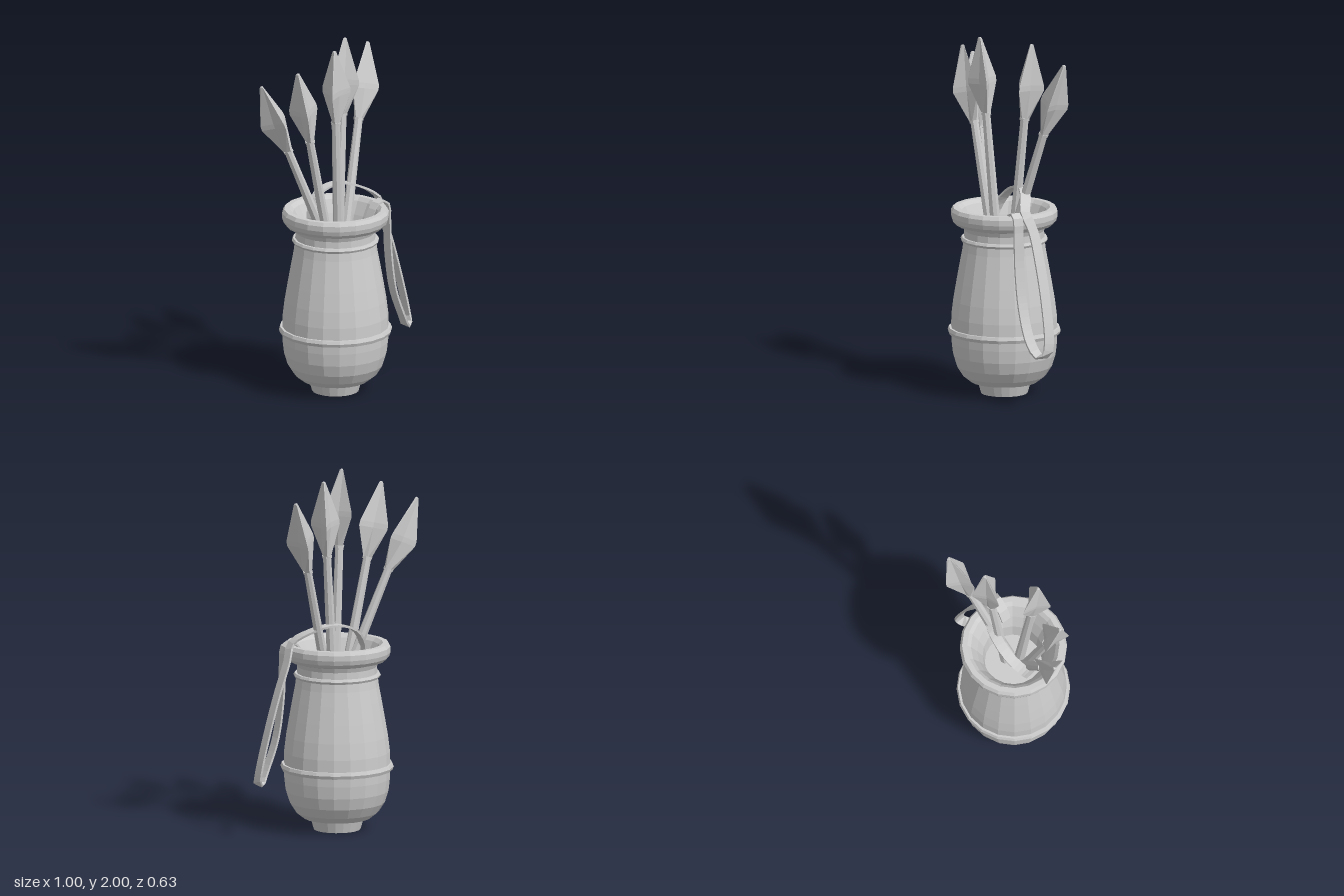
import * as THREE from 'three';

const V = (x, y, z) => new THREE.Vector3(x, y, z);
const UP = V(0, 1, 0);

// Builds quads between equal-length rings of points and fans both ends shut
function loft(rings) {
  const n = rings[0].length;
  const pos = rings.flat().flatMap((p) => [p.x, p.y, p.z]);
  const idx = [];
  for (let i = 0; i < rings.length - 1; i++) {
    for (let j = 0; j < n; j++) {
      const a = i * n + j, b = i * n + ((j + 1) % n);
      idx.push(a, a + n, b, b, a + n, b + n);
    }
  }
  const last = (rings.length - 1) * n;
  for (let j = 1; j < n - 1; j++) {
    idx.push(0, j, j + 1);
    idx.push(last, last + j + 1, last + j);
  }
  const g = new THREE.BufferGeometry();
  g.setAttribute('position', new THREE.Float32BufferAttribute(pos, 3));
  g.setIndex(idx);
  g.computeVertexNormals();
  return g;
}

// Three-finned arrow head, base at y = 0, tip at y = 0.43
function headGeometry() {
  const levels = [[0, 0.026, 0.024], [0.17, 0.092, 0.032], [0.2, 0.09, 0.031], [0.425, 0.012, 0.008], [0.43, 0.006, 0.005]];
  return loft(levels.map(([y, fin, valley]) => Array.from({ length: 6 }, (_, k) => {
    const a = -k * Math.PI / 3, r = k % 2 ? valley : fin;
    return V(r * Math.cos(a), y, r * Math.sin(a));
  }).reverse()));
}

// Flat band swept along a curve, its width kept close to the z axis
function ribbonGeometry(curve, steps, width, thick) {
  const rings = [];
  for (let i = 0; i <= steps; i++) {
    const p = curve.getPointAt(i / steps), t = curve.getTangentAt(i / steps);
    const side = V(0, 0, 1).addScaledVector(t, -t.z).normalize();
    const nor = new THREE.Vector3().crossVectors(t, side);
    rings.push([[-1, -1], [-1, 1], [1, 1], [1, -1]].map(([s, n]) =>
      p.clone().addScaledVector(side, s * width / 2).addScaledVector(nor, n * thick / 2)));
  }
  return loft(rings);
}

export function createModel() {
  const model = new THREE.Group();
  model.name = 'arrowPot';
  const grey = new THREE.MeshStandardMaterial({ color: 0xcccccc });
  grey.name = 'plain grey';
  grey.flatShading = true;

  const add = (name, geometry, parent = model) => {
    const mesh = new THREE.Mesh(geometry, grey);
    mesh.name = name;
    parent.add(mesh);
    return mesh;
  };

  // Pot: foot, belly, neck, lip, then down the inside to a floor
  const profile = [
    [0, 0], [0.13, 0], [0.147, 0.06], [0.185, 0.065], [0.23, 0.1], [0.265, 0.155], [0.285, 0.22],
    [0.293, 0.29], [0.295, 0.36], [0.293, 0.44], [0.282, 0.53], [0.265, 0.63], [0.247, 0.73],
    [0.232, 0.81], [0.223, 0.88], [0.222, 0.92], [0.232, 0.945], [0.27, 0.955], [0.288, 0.975],
    [0.296, 1.0], [0.296, 1.03], [0.284, 1.05], [0.255, 1.05], [0.235, 1.03], [0.2, 0.96],
    [0.17, 0.88], [0.158, 0.78], [0, 0.78],
  ].map(([x, y]) => new THREE.Vector2(x, y));
  add('pot', new THREE.LatheGeometry(profile, 20)).position.x = -0.02;

  // Raised bands around belly and neck
  for (const [name, r, y, h] of [['bellyBand', 0.314, 0.355, 0.018], ['neckBand', 0.242, 0.87, 0.013]]) {
    const section = [[r - 0.03, -h], [r - 0.007, -h], [r, 0], [r - 0.007, h], [r - 0.03, h]]
      .map(([x, v]) => new THREE.Vector2(x, v));
    add(name, new THREE.LatheGeometry(section, 20)).position.set(-0.02, y, 0);
  }

  // Arrows: shaft foot, head tip, turn of the fins in degrees
  const arrows = [
    [V(-0.025, 0.77, 0.035), V(-0.115, 2.0, 0.1), 20],
    [V(0.02, 0.77, -0.025), V(0.125, 1.985, -0.09), 60],
    [V(-0.075, 0.77, 0.03), V(-0.355, 1.91, 0.07), 0],
    [V(-0.06, 0.77, 0.03), V(-0.495, 1.83, -0.075), -20],
    [V(0.025, 0.77, 0.01), V(0.355, 1.9, -0.165), 45],
  ];
  const headGeo = headGeometry();
  for (const [foot, tip, turn] of arrows) {
    const arrow = new THREE.Group();
    arrow.name = 'arrow';
    const dir = tip.clone().sub(foot), length = dir.length() - 0.43;
    arrow.position.copy(foot);
    arrow.quaternion.setFromUnitVectors(UP, dir.normalize());
    model.add(arrow);
    add('shaft', new THREE.CylinderGeometry(0.023, 0.03, length, 8), arrow).position.y = length / 2;
    add('collar', new THREE.CylinderGeometry(0.028, 0.028, 0.014, 8), arrow).position.y = length;
    const head = add('head', headGeo, arrow);
    head.position.y = length;
    head.rotation.y = -turn * Math.PI / 180;
  }

  // Strap: arches out of the mouth, hangs down outside and returns over the lip
  const path = new THREE.CatmullRomCurve3([
    V(-0.17, 0.9, 0.0), V(-0.165, 1.02, -0.04), V(-0.08, 1.13, -0.08), V(0.06, 1.165, -0.07),
    V(0.18, 1.13, -0.02), V(0.26, 1.07, 0.03), V(0.305, 0.97, 0.005), V(0.37, 0.8, 0.0),
    V(0.44, 0.57, 0.0), V(0.487, 0.36, 0.01), V(0.483, 0.305, 0.025), V(0.45, 0.292, 0.05),
    V(0.4, 0.36, 0.075), V(0.33, 0.53, 0.082), V(0.293, 0.75, 0.085), V(0.282, 0.95, 0.085),
    V(0.275, 1.04, 0.085), V(0.235, 1.065, 0.08), V(0.195, 1.04, 0.08), V(0.15, 0.95, 0.08),
  ]);
  add('strap', ribbonGeometry(path, 64, 0.058, 0.012));

  return model;
}
